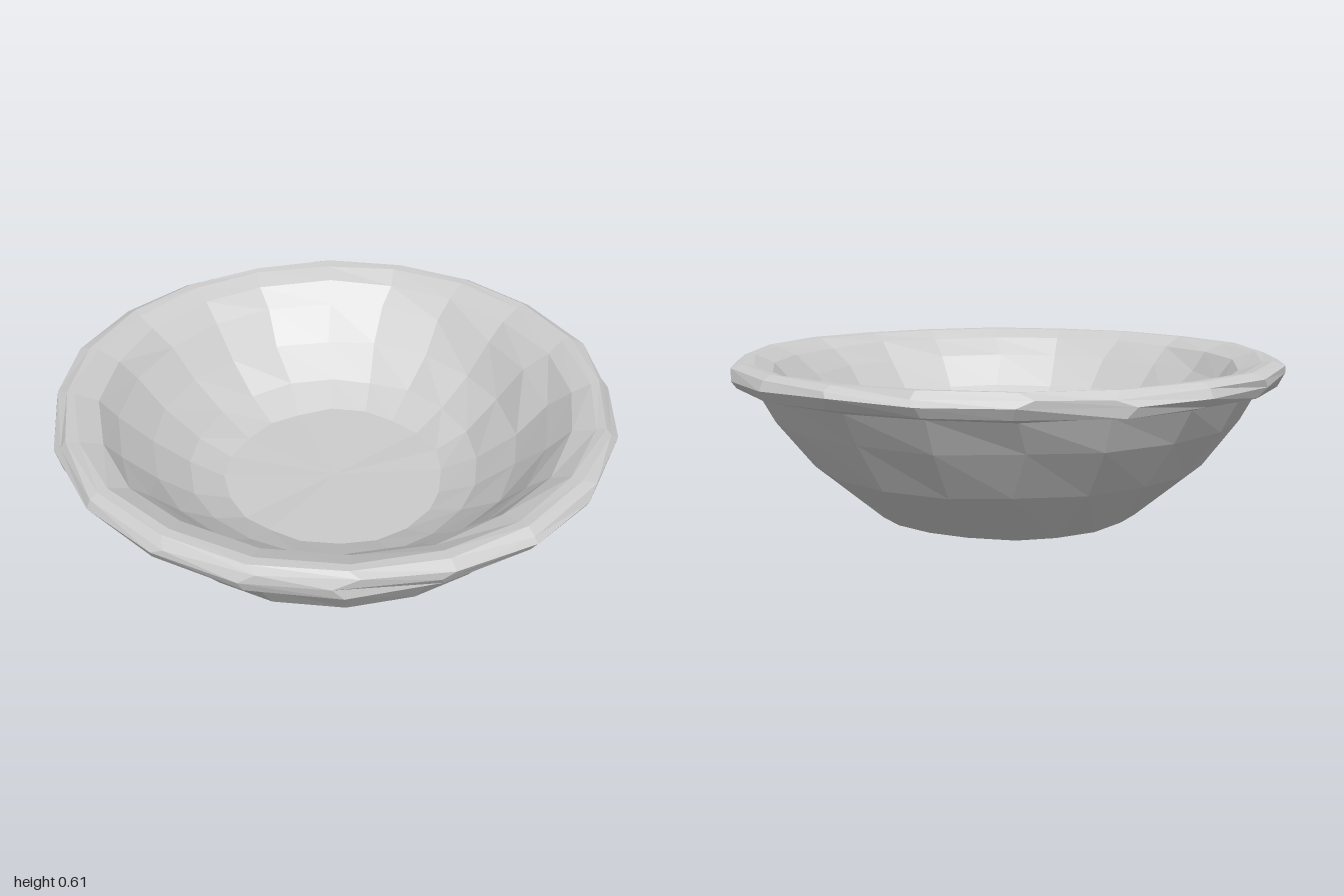
import * as THREE from 'three';

const SIDES = 20;

// Each ring: radius, height, amount of hand-made unevenness
const PROFILE = [
  // underside and outer wall
  [0, 0.005, 0], [0.31, 0.005, 0.004], [0.485, 0.035, 0.006], [0.725, 0.235, 0.008],
  [0.845, 0.4, 0.008], [0.915, 0.515, 0.006],
  // rolled rim
  [0.975, 0.53, 0.012], [1, 0.565, 0.016], [0.985, 0.59, 0.016], [0.955, 0.61, 0.006],
  // inner wall and floor
  [0.92, 0.607, 0.005], [0.845, 0.575, 0.008], [0.775, 0.505, 0.008],
  [0.67, 0.39, 0.01], [0.54, 0.285, 0.01], [0.41, 0.222, 0.01], [0, 0.215, 0],
];

// Repeatable value between -1 and 1
function noise(a, b) {
  const s = Math.sin(a * 12.99 + b * 78.23) * 43758.55;
  return (s - Math.floor(s)) * 2 - 1;
}

export function createModel() {
  const group = new THREE.Group();
  group.name = 'bowl';

  const points = PROFILE.map(([r, y]) => new THREE.Vector2(r, y));
  const geometry = new THREE.LatheGeometry(points, SIDES);
  const pos = geometry.attributes.position;

  // Nudge every ring a little so the facets look hand shaped
  for (let i = 0; i <= SIDES; i++) {
    for (let j = 0; j < PROFILE.length; j++) {
      const [r, y, amount] = PROFILE[j];
      const k = i % SIDES;
      const quarter = k % (SIDES / 4) === 0;
      const radius = quarter ? r : Math.min(1, r + noise(k, j) * amount);
      const height = Math.min(0.612, Math.max(0, y + noise(k + 31, j) * amount * 0.6));
      const angle = (k / SIDES) * Math.PI * 2 + (quarter ? 0 : noise(k, j + 57) * amount * 3);
      pos.setXYZ(i * PROFILE.length + j, Math.sin(angle) * radius, height, Math.cos(angle) * radius);
    }
  }
  geometry.computeVertexNormals();

  const material = new THREE.MeshStandardMaterial({ color: 0xcccccc, flatShading: true });
  const shell = new THREE.Mesh(geometry, material);
  shell.name = 'bowlShell';
  group.add(shell);
  return group;
}
